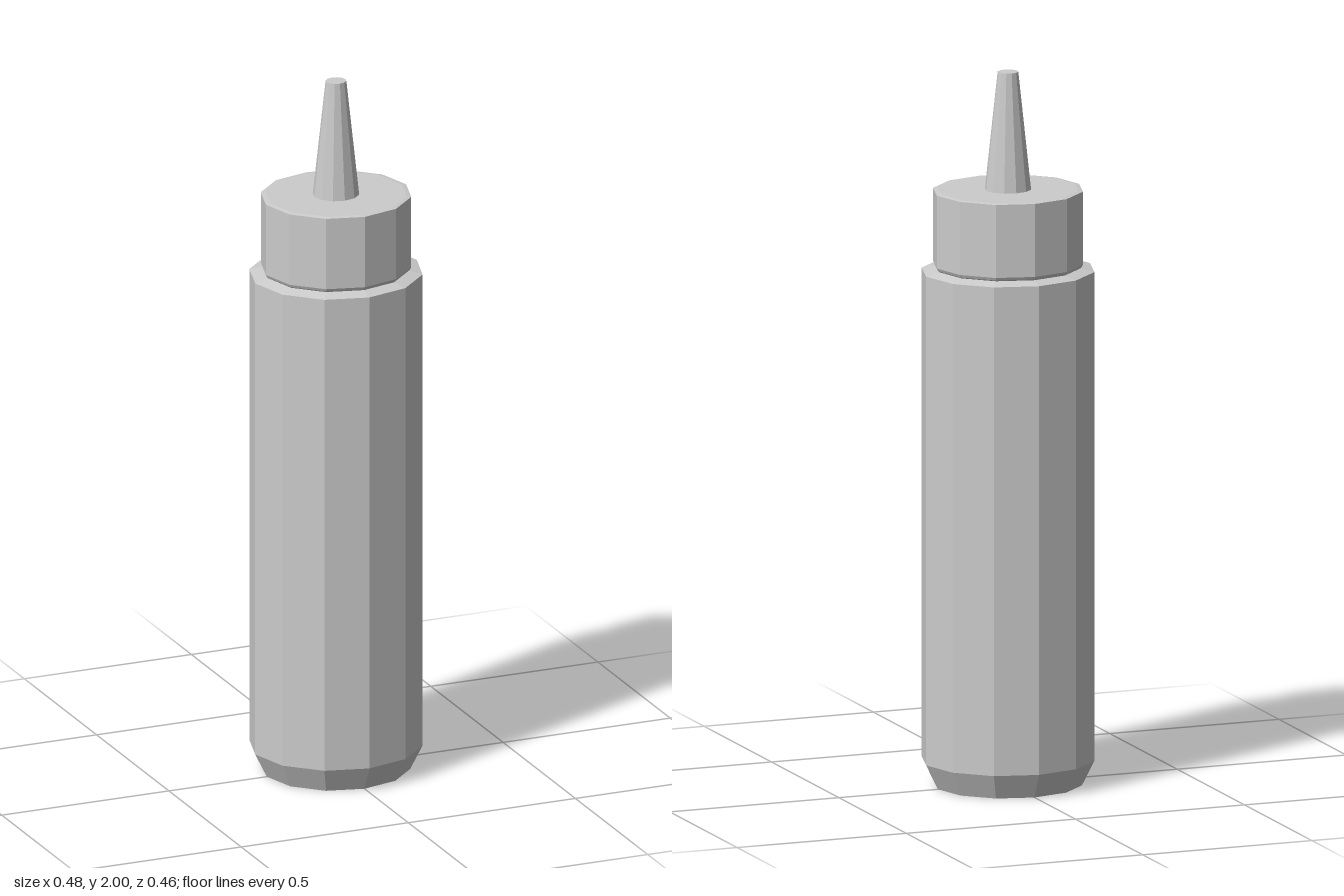
import * as THREE from 'three';

const SIDES = 12;
const DEPTH = 0.952; // the bottle is slightly narrower front to back

// Faceted turned part from [radius, height] pairs, bottom to top
function turned(name, profile, material) {
  const points = profile.map(([r, y]) => new THREE.Vector2(r, y));
  const mesh = new THREE.Mesh(new THREE.LatheGeometry(points, SIDES), material);
  mesh.name = name;
  mesh.scale.z = DEPTH;
  return mesh;
}

export function createModel() {
  const group = new THREE.Group();
  group.name = 'squeezeBottle';
  const grey = new THREE.MeshStandardMaterial({ color: 0xcccccc, flatShading: true });

  group.add(
    // Body with chamfered foot and gently sloped shoulder
    turned('body', [[0, 0], [0.207, 0], [0.242, 0.07], [0.242, 1.443], [0.2, 1.453], [0, 1.453]], grey),
    // Screw cap with a small lower bevel
    turned('cap', [[0.2, 1.45], [0.206, 1.455], [0.21, 1.463], [0.21, 1.668], [0.197, 1.67], [0, 1.67]], grey),
    // Tapered nozzle with a flat tip
    turned('nozzle', [[0.065, 1.668], [0.029, 2], [0, 2]], grey)
  );
  return group;
}
